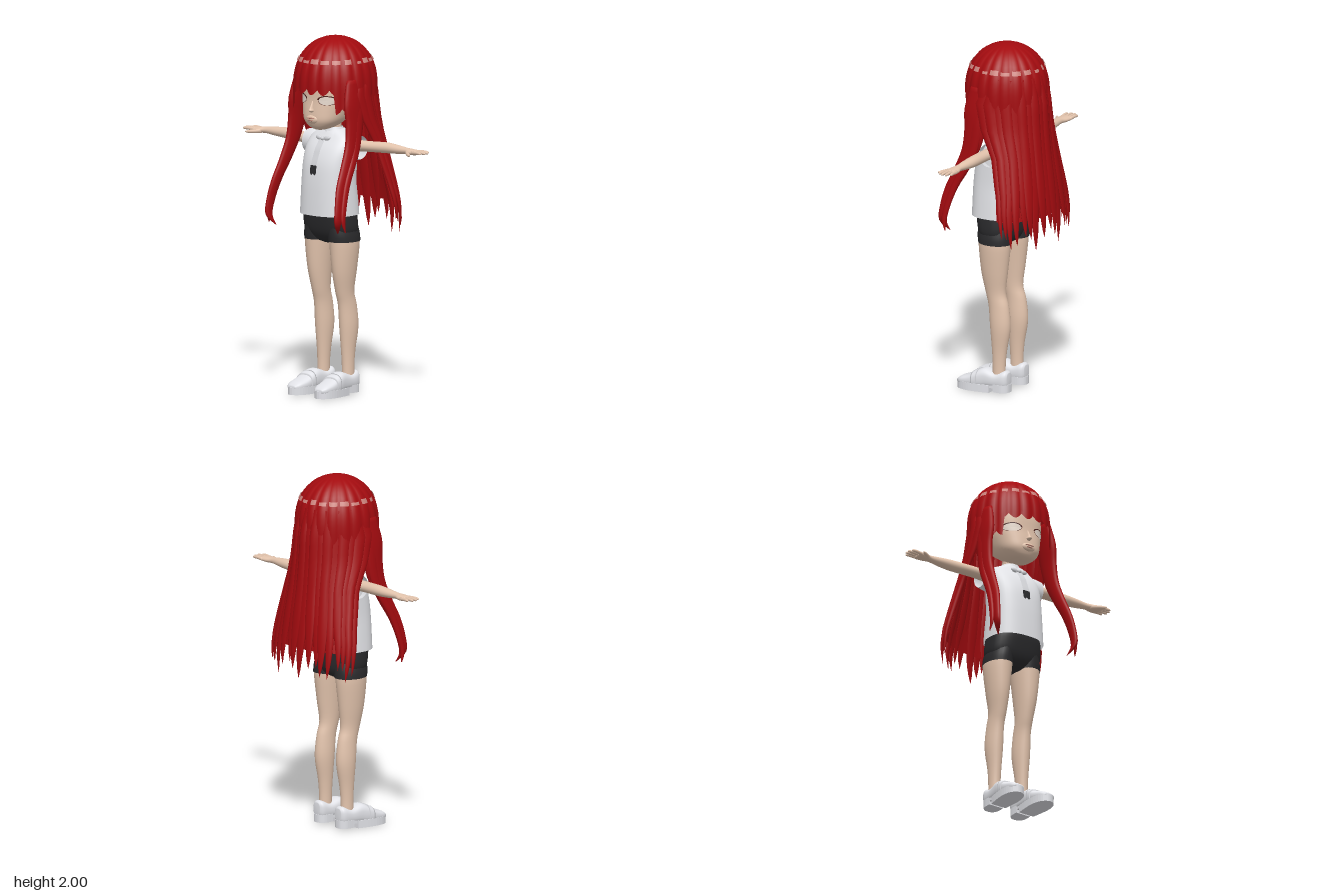
import * as THREE from 'three';
import { mergeVertices } from 'three/addons/utils/BufferGeometryUtils.js';

const mat = (name, color, side = THREE.FrontSide) =>
  Object.assign(new THREE.MeshStandardMaterial({ color, side }), { name });
const D = THREE.DoubleSide;

// Surface through rows of points; rows run upward, columns turn from x towards z
function grid(rows, closed = true) {
  const n = rows[0].length, idx = [];
  for (let i = 0; i < rows.length - 1; i++)
    for (let j = 0; j < (closed ? n : n - 1); j++) {
      const k = (j + 1) % n, a = i * n + j, b = a + n, c = i * n + k, d = c + n;
      idx.push(a, b, c, c, b, d);
    }
  const g = new THREE.BufferGeometry();
  g.setAttribute('position', new THREE.Float32BufferAttribute(rows.flat(2), 3));
  g.setIndex(idx);
  g.computeVertexNormals();
  return g;
}

// Smooth loft through rings [along, c1, c2, r1, r2]; axis 'y', 'x' or 'z'
function loft(rings, { axis = 'y', p = 2, seg = 28, sub = 4, cap = true } = {}) {
  const dense = [], at = i => rings[Math.min(rings.length - 1, Math.max(0, i))];
  for (let i = 0; i < rings.length - 1; i++)
    for (let s = 0; s < sub; s++) {
      const t = s / sub;
      dense.push(at(i).map((b, k) => {
        const a = at(i - 1)[k], c = at(i + 1)[k], d = at(i + 2)[k];
        const v = b + 0.5 * t * (c - a + t * (2 * a - 5 * b + 4 * c - d + t * (3 * (b - c) + d - a)));
        return k > 2 ? Math.max(0, v) : v;
      }));
    }
  dense.push(at(rings.length - 1));
  if (cap) {
    const shut = r => [r[0], r[1], r[2], 0, 0];
    dense.unshift(shut(dense[0]));
    dense.push(shut(dense[dense.length - 1]));
  }
  const pw = v => Math.sign(v) * Math.abs(v) ** (2 / p);
  return grid(dense.map(([h, c1, c2, r1, r2]) => Array.from({ length: seg }, (_, j) => {
    const a = j / seg * Math.PI * 2, u = c1 + r1 * pw(Math.cos(a)), v = c2 + r2 * pw(Math.sin(a));
    return axis === 'y' ? [u, h, v] : axis === 'x' ? [h, v, u] : [v, u, h];
  })));
}

function mirror(geo) {
  const g = geo.index ? geo.clone() : mergeVertices(geo);
  g.scale(-1, 1, 1);
  g.index.array.reverse();
  return g;
}

// Linear lookup in a table of rows sorted by rising first value
function look(table, y) {
  let i = 0;
  while (i < table.length - 2 && y > table[i + 1][0]) i++;
  const t = THREE.MathUtils.clamp((y - table[i][0]) / (table[i + 1][0] - table[i][0]), 0, 1);
  return table[i].map((v, k) => v + (table[i + 1][k] - v) * t);
}

// Lays a flat geometry on the front of a lofted body
function layOn(geo, rings, p, lift) {
  const P = geo.attributes.position;
  for (let i = 0; i < P.count; i++) {
    const [, , cz, rx, rz] = look(rings, P.getY(i));
    const q = Math.min(1, Math.abs(P.getX(i)) / rx);
    P.setZ(i, cz + rz * (1 - q ** p) ** (1 / p) + lift);
  }
  geo.computeVertexNormals();
  return geo;
}

const HEAD = [[1.488, 0, .13, .025, .03], [1.5, 0, .122, .06, .062], [1.52, 0, .108, .09, .09], [1.55, 0, .09, .115, .118],
  [1.6, 0, .058, .135, .147], [1.66, 0, .036, .152, .162], [1.75, 0, .02, .16, .175], [1.85, 0, .01, .14, .16], [1.93, 0, .01, .07, .08]];
const SHIRT = [[1.01, 0, .06, .165, .14], [1.1, 0, .062, .16, .135], [1.2, 0, .065, .155, .126], [1.3, 0, .056, .155, .121],
  [1.38, 0, .045, .155, .1], [1.44, 0, .03, .14, .072], [1.47, 0, .025, .09, .058], [1.485, 0, .022, .055, .05]];
// Back hair: height, half width, back z, front edge z
const MANE = [[.86, .32, -.3, -.13], [1, .338, -.3, -.12], [1.1, .328, -.29, -.105], [1.2, .303, -.277, -.09], [1.4, .262, -.25, -.04],
  [1.55, .245, -.235, .04], [1.7, .232, -.225, .08], [1.84, .2, -.195, .02]];

const manePoint = (th, y, out) => {
  const [, X, zb, zf] = look(MANE, y);
  return [X * out * Math.sin(th), y, zf + (zb - zf) * out * Math.cos(th)];
};
const crease = a => Math.abs(Math.sin(10 * a));
const domePoint = (a, y, lift = 0) => {
  const r = Math.sqrt(Math.max(0, 1 - Math.max(0, (y - 1.7) / .3) ** 2.6)) * (1 + .035 * (crease(a) - .6));
  return [(.228 * r + lift) * Math.cos(a), y, .014 + (.235 * r + lift) * Math.sin(a)];
};

export function createModel() {
  const root = new THREE.Group();
  root.name = 'figure';
  const skin = mat('skin', 0xe3c4ad), hair = mat('hair red', 0xa30b0f, D), shine = mat('hair shine', 0xc9807a, D),
    cloth = mat('white cloth', 0xe9eaee, D), ribbon = mat('ribbon grey', 0xd4d5d9, D), dark = mat('shorts black', 0x29292b, D),
    shoe = mat('shoe white', 0xe6e7ec), eye = mat('eye white', 0xeadcd0, D), lash = mat('lash brown', 0x4a201c, D), lip = mat('lip', 0xb98475, D);
  const add = (name, geo, m) => {
    const mesh = new THREE.Mesh(geo, m);
    mesh.name = name;
    root.add(mesh);
  };
  const pair = (name, geo, m) => { add('left ' + name, geo, m); add('right ' + name, mirror(geo), m); };

  // Head and face
  add('head', loft(HEAD, { p: 2.4, seg: 48 }), skin);
  add('neck', loft([[1.4, 0, .015, .05, .045], [1.47, 0, .025, .044, .042], [1.55, 0, .035, .046, .046]]), skin);
  add('nose', loft([[1.588, 0, .195, .006, .01], [1.6, 0, .2, .016, .027], [1.615, 0, .198, .01, .022], [1.66, 0, .186, .005, .01]]), skin);
  add('mouth bump', new THREE.SphereGeometry(1, 20, 12).scale(.045, .026, .02).translate(0, 1.552, .197), skin);
  for (const [y, w] of [[1.558, .03], [1.546, .02]])
    add('lip', new THREE.SphereGeometry(1, 16, 8).scale(w, .0045, .006).translate(0, y, .214), lip);
  const onFace = (g, lift) => layOn(g.scale(.045, .024, 1).translate(.09, 1.66, 0), HEAD, 2.4, lift);
  pair('eye', onFace(new THREE.RingGeometry(0, 1, 24, 5), .003), eye);
  pair('upper lash', onFace(new THREE.RingGeometry(.95, 1.17, 20, 1, .1, Math.PI - .2), .005), lash);
  pair('lower lash', onFace(new THREE.RingGeometry(.97, 1.04, 20, 1, Math.PI, Math.PI), .004), lash);

  // Hair cap with ragged fringe
  const N = 120, cap = [];
  for (let i = 0; i <= 16; i++)
    cap.push(Array.from({ length: N }, (_, j) => {
      const a = j / N * Math.PI * 2, off = Math.abs(Math.atan2(Math.cos(a), Math.sin(a)));
      const low = (off < .78 ? 1.695 : 1.59) + .03 * (1 - crease(a));
      return domePoint(a, low + (2 - low) * Math.sin(i / 16 * Math.PI / 2));
    }));
  add('hair cap', grid(cap), hair);

  // Broken band of shine around the cap
  for (let i = 0; i < 20; i++) {
    const a0 = i / 20 * Math.PI * 2 + .03, len = .15 + .1 * Math.abs(Math.sin(i * 2.7)), h = .014 + .012 * Math.abs(Math.sin(i * 1.9));
    const rows = [0, .5, 1].map(v => Array.from({ length: 7 }, (_, j) => domePoint(a0 + len * j / 6, 1.866 + h * v, .005)));
    add('hair shine', grid(rows, false), shine);
  }

  // Long back hair: a backing sheet and overlapping pointed locks
  const sheet = Array.from({ length: 15 }, (_, i) => Array.from({ length: 41 }, (_, j) =>
    manePoint((j / 40 - .5) * Math.PI, 1.06 + .055 * i, .95)));
  sheet.forEach(r => r.reverse());
  sheet.forEach(r => r.reverse());
  add('back hair sheet', grid(sheet, false).toNonIndexed(), hair);
  for (let i = 0; i < 19; i++) {
    const th0 = -1.46 + i * 2.92 / 18, tip = .875 + .1 * Math.abs(Math.sin(i * 2.3 + .6)), layer = .97 + .025 * (i % 2);
    const rows = Array.from({ length: 19 }, (_, k) => {
      const t = k / 18, w = Math.min(1, t / .32) ** .65, y = tip + (1.84 - tip) * t;
      return Array.from({ length: 10 }, (_, j) => {
        const f = j / 10 * Math.PI * 2;
        return manePoint(th0 + .125 * w * Math.cos(f) + .05 * Math.sin(i * 1.7) * (1 - t) ** 3, y, layer - .055 * w * Math.sin(f));
      });
    });
    add('back lock', grid(rows), hair);
  }

  // Front side locks sweeping forward
  pair('side lock', loft([[.94, .235, .243, .002, .003], [1, .262, .272, .014, .024], [1.1, .258, .255, .016, .033], [1.2, .245, .222, .018, .04],
    [1.3, .234, .17, .02, .047], [1.42, .225, .115, .022, .056], [1.54, .219, .09, .024, .068], [1.65, .21, .085, .026, .078], [1.78, .195, .07, .02, .06]], { seg: 16 }), hair);
  pair('thin side lock', loft([[.95, .29, .24, .002, .003], [1.03, .282, .25, .011, .016], [1.2, .262, .2, .013, .022],
    [1.4, .238, .1, .015, .03], [1.6, .226, .07, .015, .035], [1.75, .2, .06, .012, .03]], { seg: 12 }), hair);

  // Shirt, sleeves, collar and ribbon
  add('shirt', loft(SHIRT, { p: 2.5, seg: 40, cap: false }), cloth);
  pair('sleeve', loft([[.09, .022, 1.385, .055, .07], [.14, .02, 1.388, .064, .075], [.195, .018, 1.392, .06, .066]], { axis: 'x', cap: false }), cloth);
  add('collar band', loft([[1.46, 0, .025, .07, .062], [1.495, 0, .027, .052, .05]], { cap: false }), cloth);
  const flap = new THREE.PlaneGeometry(1, 1, 6, 6), F = flap.attributes.position;
  for (let i = 0; i < F.count; i++) {
    const u = F.getX(i) + .5, v = F.getY(i) + .5;
    F.setXY(i, .008 + u * (.05 + .025 * (1 - v)), 1.475 - (1 - v) * (.03 + .03 * u));
  }
  pair('collar flap', layOn(flap, SHIRT, 2.5, .009), cloth);
  pair('bow loop', new THREE.SphereGeometry(1, 14, 10).scale(.024, .013, .01).rotateZ(.2).translate(.03, 1.437, .113), ribbon);
  add('bow knot', new THREE.SphereGeometry(.012, 12, 8).translate(0, 1.435, .118), ribbon);
  add('ribbon tail', layOn(new THREE.PlaneGeometry(.042, .145, 3, 8).translate(-.003, 1.362, 0), SHIRT, 2.5, .008), ribbon);
  const end = new THREE.PlaneGeometry(.046, .055, 4, 3).translate(-.003, 1.263, 0);
  for (let i = 15; i < 20; i++) end.attributes.position.setY(i, 1.235 + .012 * (i % 2));
  add('ribbon end', layOn(end, SHIRT, 2.5, .009), dark);

  // Arms and hands
  pair('arm', loft([[.12, .018, 1.4, .035, .033], [.25, .015, 1.405, .036, .03], [.38, .003, 1.41, .034, .03], [.46, .003, 1.41, .029, .025],
    [.53, .005, 1.41, .022, .018], [.57, .007, 1.408, .034, .017], [.61, .005, 1.408, .036, .014], [.622, .005, 1.408, .03, .009]], { axis: 'x' }), skin);
  [[-.023, .67], [-.005, .686], [.014, .688], [.032, .676]].forEach(([z, x]) =>
    pair('finger', loft([[.595, z, 1.409, .009, .01], [.64, z * 1.15, 1.412, .0085, .009], [x - .008, z * 1.25, 1.411, .007, .007], [x, z * 1.25, 1.41, .002, .002]],
      { axis: 'x', seg: 10, sub: 3 }), skin));
  pair('thumb', loft([[.55, .022, 1.405, .012, .012], [.58, .046, 1.402, .014, .011], [.608, .066, 1.4, .011, .009], [.624, .078, 1.4, .003, .004]],
    { axis: 'x', seg: 10 }), skin);

  // Shorts
  add('shorts', loft([[.848, 0, .04, .03, .045], [.87, 0, .04, .12, .08], [.92, 0, .045, .163, .104], [1, 0, .054, .163, .11], [1.04, 0, .056, .155, .108]],
    { p: 2.5, seg: 36 }), dark);
  pair('shorts leg', loft([[.862, .091, .038, .079, .099], [.9, .089, .041, .078, .101], [.95, .08, .045, .075, .1]], { cap: false }), dark);

  // Legs
  pair('leg', loft([[.07, .094, .01, .032, .038], [.16, .093, .01, .032, .038], [.25, .092, .008, .036, .045], [.38, .092, .003, .046, .061],
    [.5, .091, .014, .043, .061], [.58, .09, .034, .045, .061], [.7, .093, .04, .059, .08], [.86, .093, .039, .075, .095], [.93, .088, .045, .07, .09]]), skin);

  // Shoes: upper, strap, sole and heel
  pair('shoe upper', loft([[-.055, .085, .092, .035, .025], [-.035, .08, .092, .052, .044], [.02, .072, .093, .044, .048], [.08, .077, .095, .056, .052],
    [.12, .07, .097, .055, .056], [.18, .055, .099, .037, .058], [.235, .046, .102, .025, .048], [.262, .042, .103, .01, .026]], { axis: 'z', p: 2.6 }), shoe);
  pair('shoe strap', loft([[.125, .068, .097, .058, .059], [.16, .061, .098, .048, .061]], { axis: 'z', p: 2.6 }), shoe);
  const slab = (pts, top, depth) => {
    const s = new THREE.Shape(new THREE.SplineCurve(pts.map(q => new THREE.Vector2(...q))).getPoints(28));
    return new THREE.ExtrudeGeometry(s, { depth, bevelEnabled: false }).rotateX(Math.PI / 2).translate(0, top, 0);
  };
  pair('front sole', slab([[.047, .05], [.04, .12], [.041, .19], [.06, .245], [.102, .27], [.143, .245], [.159, .19], [.155, .12], [.143, .05]], .045, .043), shoe);
  pair('heel', slab([[.046, .025], [.047, -.025], [.066, -.052], [.092, -.058], [.118, -.052], [.137, -.025], [.139, .025]], .055, .045), shoe);
  pair('arch', new THREE.BoxGeometry(.088, .025, .06).translate(.094, .043, .035), shoe);
  return root;
}
